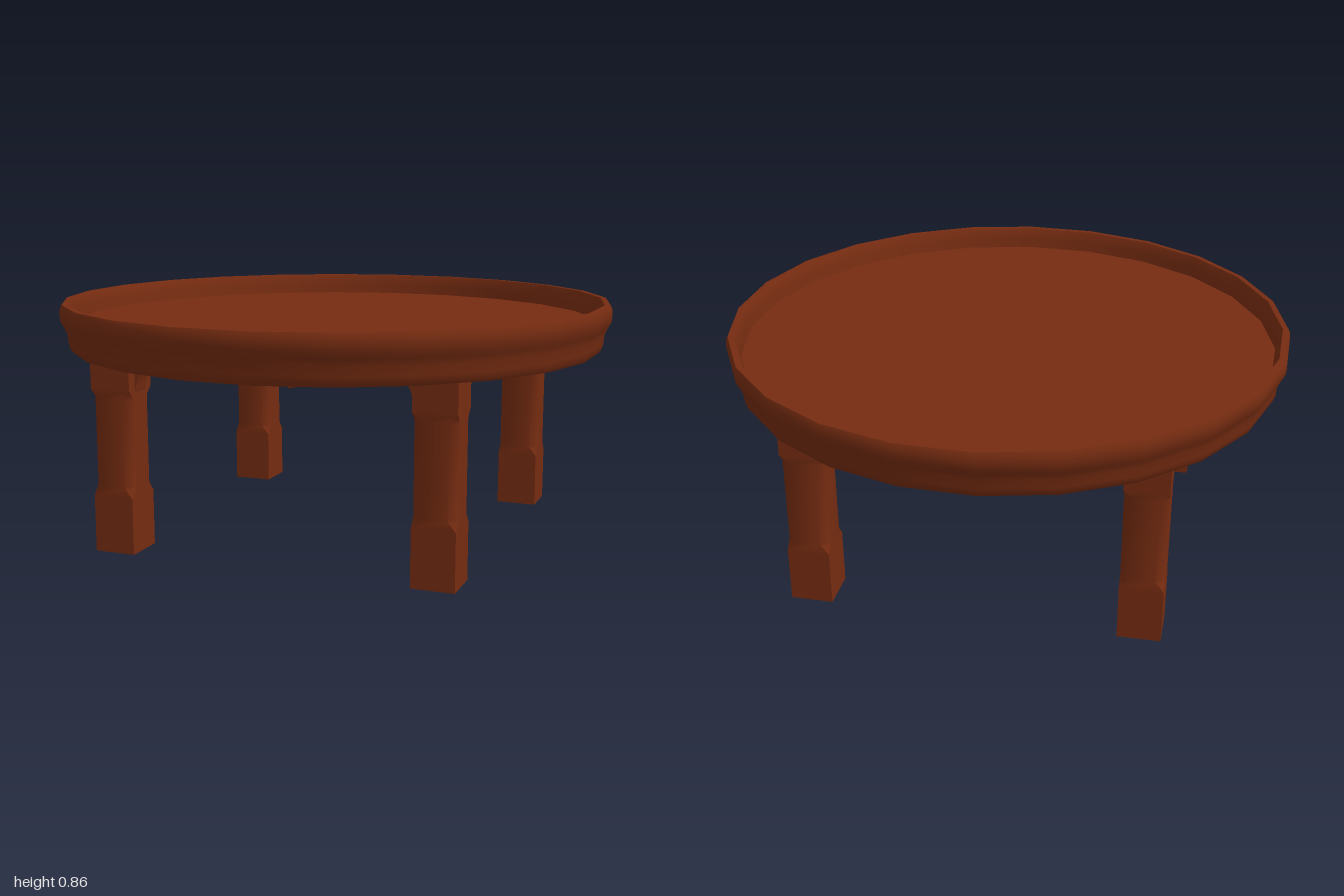
import * as THREE from 'three';
import { toCreasedNormals } from 'three/addons/utils/BufferGeometryUtils.js';

const LEG = 0.581;     // leg centre offset on x and z
const HALF = 0.075;    // half the leg width
const BOARD = 0.745;   // recessed underside of the table board

const wood = new THREE.MeshStandardMaterial({ color: 0x762c11 });

function mesh(name, geometry) {
  const m = new THREE.Mesh(geometry, wood);
  m.name = name;
  return m;
}

// Round 24-sided tray top: moulded rim, sunken floor, hollow below
function tableTop() {
  const profile = [
    [0, BOARD], [0.935, BOARD], [0.94, 0.687], [0.962, 0.687], [0.97, 0.698], [0.977, 0.72],
    [0.979, 0.75], [0.99, 0.775], [1.002, 0.798], [1.005, 0.82], [1.004, 0.842], [0.997, 0.857],
    [0.977, 0.857], [0.968, 0.84], [0.963, 0.815], [0.957, 0.78], [0, 0.78],
  ].map(([r, y]) => new THREE.Vector2(r, y));
  const start = THREE.MathUtils.degToRad(5.6);
  return toCreasedNormals(new THREE.LatheGeometry(profile, 24, start), 0.8);
}

// Square post whose four edges are softened between foot and head
function legGeometry() {
  const rings = [[0, 0], [0.2, 0], [0.235, 0.028], [0.55, 0.028], [0.58, 0], [BOARD + 0.01, 0]];
  const positions = [];
  const index = [];
  for (const [y, c] of rings) {
    const h = HALF, k = HALF - c;
    for (const [x, z] of [[h, -k], [h, k], [k, h], [-k, h], [-h, k], [-h, -k], [-k, -h], [k, -h]]) {
      positions.push(x, y, z);
    }
  }
  for (let r = 0; r < rings.length - 1; r++) {
    for (let i = 0; i < 8; i++) {
      const a = r * 8 + i, b = r * 8 + (i + 1) % 8;
      index.push(a, a + 8, b, b, a + 8, b + 8);
    }
  }
  for (let i = 1; i < 7; i++) index.push(0, i, i + 1); // sole
  const g = new THREE.BufferGeometry();
  g.setAttribute('position', new THREE.Float32BufferAttribute(positions, 3));
  g.setIndex(index);
  return toCreasedNormals(g, 0.85);
}

// Thin rail centred on the legs, with a scalloped lower edge mirrored about its middle
function apronGeometry() {
  const half = [
    [0, 0.672], [0.018, 0.671], [0.03, 0.66], [0.048, 0.658], [0.056, 0.635], [0.068, 0.622], [0.085, 0.624],
    [0.13, 0.636], [0.18, 0.65], [0.22, 0.664], [0.245, 0.676], [0.26, 0.677], [0.27, 0.662], [0.285, 0.656],
    [0.295, 0.665], [0.305, 0.652], [0.325, 0.652], [0.37, 0.664], [0.4, 0.68], [0.425, 0.689],
    [0.45, 0.684], [0.47, 0.668], [0.487, 0.643], [0.498, 0.61], [0.507, 0.565],
  ];
  const end = LEG - HALF + 0.01;
  const shape = new THREE.Shape();
  shape.moveTo(-end, BOARD + 0.005);
  shape.lineTo(-end, 0.565);
  for (const [x, y] of half.slice().reverse()) shape.lineTo(-x, y);
  for (const [x, y] of half.slice(1)) shape.lineTo(x, y);
  shape.lineTo(end, 0.565);
  shape.lineTo(end, BOARD + 0.005);
  const depth = 0.07;
  const g = new THREE.ExtrudeGeometry(shape, { depth, bevelEnabled: false });
  g.translate(0, 0, LEG - depth / 2);
  return toCreasedNormals(g, 0.6);
}

export function createModel() {
  const table = new THREE.Group();
  table.name = 'roundTable';
  table.add(mesh('tableTop', tableTop()));

  // Four legs
  const leg = legGeometry();
  for (const [sx, sz, name] of [
    [1, 1, 'frontLeftLeg'], [-1, 1, 'frontRightLeg'], [1, -1, 'backLeftLeg'], [-1, -1, 'backRightLeg'],
  ]) {
    const m = mesh(name, leg);
    m.position.set(sx * LEG, 0, sz * LEG);
    table.add(m);
  }

  // Four aprons joining the legs
  const apron = apronGeometry();
  ['frontApron', 'leftApron', 'backApron', 'rightApron'].forEach((name, i) => {
    const m = mesh(name, apron);
    m.rotation.y = i * Math.PI / 2;
    table.add(m);
  });
  return table;
}
